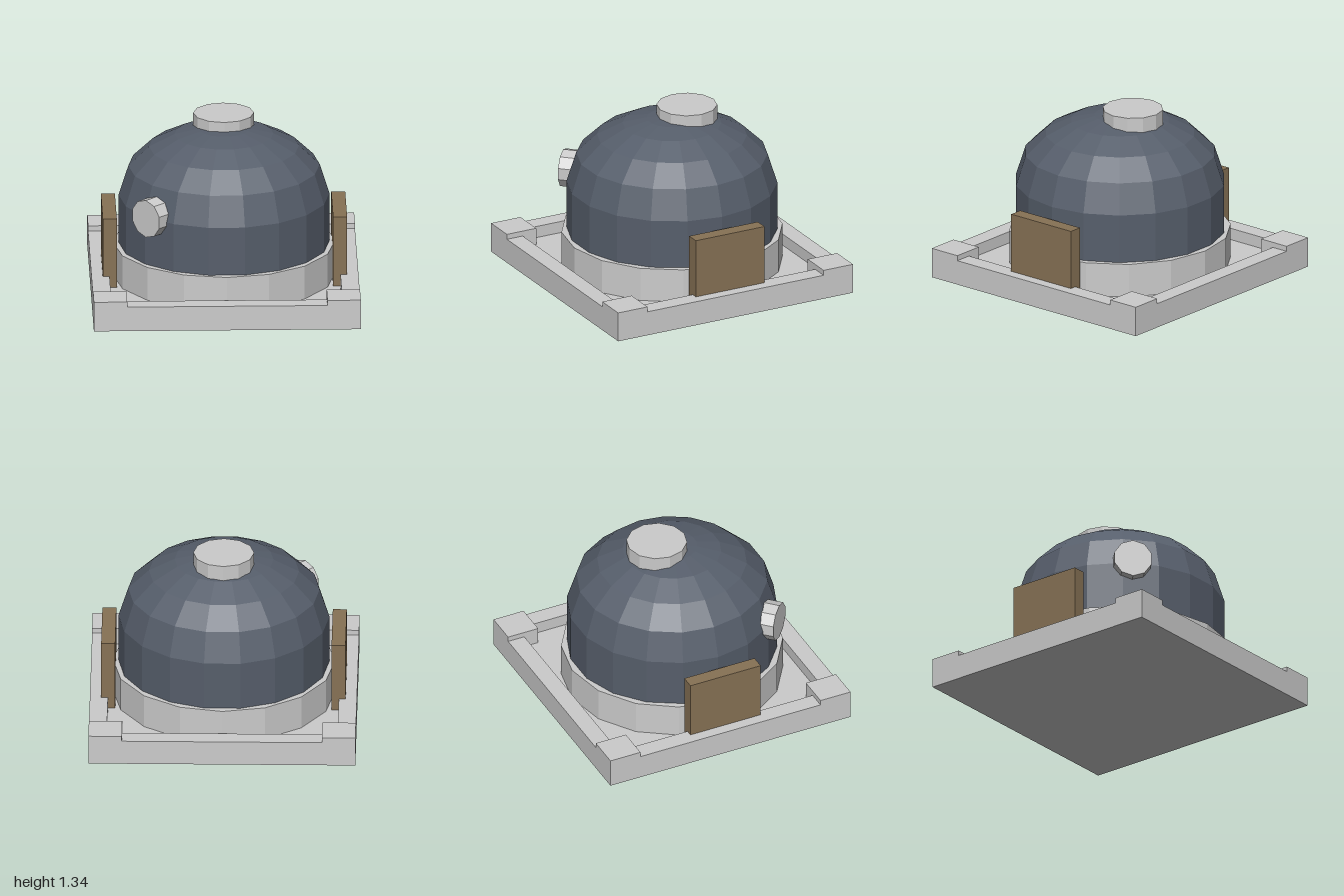
import * as THREE from 'three';

const grey = new THREE.MeshStandardMaterial({ color: 0xcccccc, flatShading: true });
const slate = new THREE.MeshStandardMaterial({ color: 0x565e6b, flatShading: true });
const brown = new THREE.MeshStandardMaterial({ color: 0x877255, flatShading: true });

export function createModel() {
  const model = new THREE.Group();
  const add = (name, geometry, material, x = 0, y = 0, z = 0) => {
    const mesh = new THREE.Mesh(geometry, material);
    mesh.name = name;
    mesh.position.set(x, y, z);
    model.add(mesh);
    return mesh;
  };
  // Box given by its centre in plan and its bottom and top heights
  const block = (name, material, x, z, w, d, bottom, top) =>
    add(name, new THREE.BoxGeometry(w, top - bottom, d), material, x, (bottom + top) / 2, z);

  // Square tray: floor, low rims and raised corners
  const floorY = 0.1, rimY = 0.19, cornerY = 0.23, rim = 0.135, corner = 0.25;
  const span = 2 - 2 * corner;
  block('trayFloor', grey, 0, 0, 2, 2, 0, floorY);
  for (const s of [-1, 1]) {
    block(s > 0 ? 'frontRim' : 'backRim', grey, 0, s * (1 - rim / 2), span, rim, floorY, rimY);
    block(s > 0 ? 'leftRim' : 'rightRim', grey, s * (1 - rim / 2), 0, rim, span, floorY, rimY);
    for (const t of [-1, 1]) {
      block('cornerBlock', grey, s * (1 - corner / 2), t * (1 - corner / 2), corner, corner, floorY, cornerY);
    }
    // Upright side panels straddling the inner edge of the rim
    block(s > 0 ? 'leftPanel' : 'rightPanel', brown, s * 0.863, 0, 0.105, 0.585, floorY, 0.645);
  }

  // Ring that carries the dome
  add('baseRing', new THREE.CylinderGeometry(0.832, 0.832, 0.36 - floorY, 16), grey, 0, (0.36 + floorY) / 2, 0);

  // Faceted dome with a straight lower wall
  const profile = [
    [0.79, 0.355], [0.79, 0.735], [0.717, 0.965], [0.562, 1.115],
    [0.37, 1.213], [0.19, 1.253], [0, 1.265],
  ].map(([r, y]) => new THREE.Vector2(r, y));
  add('dome', new THREE.LatheGeometry(profile, 18, Math.PI / 2), slate);

  // Round hatch set towards the back of the top
  add('topHatch', new THREE.CylinderGeometry(0.228, 0.228, 0.135, 12), grey, 0, 1.2675, -0.127);

  // Porthole looking out diagonally at the front right
  const inner = 0.73, outer = 0.85, mid = (inner + outer) / 2 * Math.SQRT1_2;
  const port = new THREE.CylinderGeometry(0.146, 0.146, outer - inner, 10).rotateX(Math.PI / 2);
  add('porthole', port, grey, -mid, 0.75, mid).rotation.y = -Math.PI / 4;

  return model;
}
